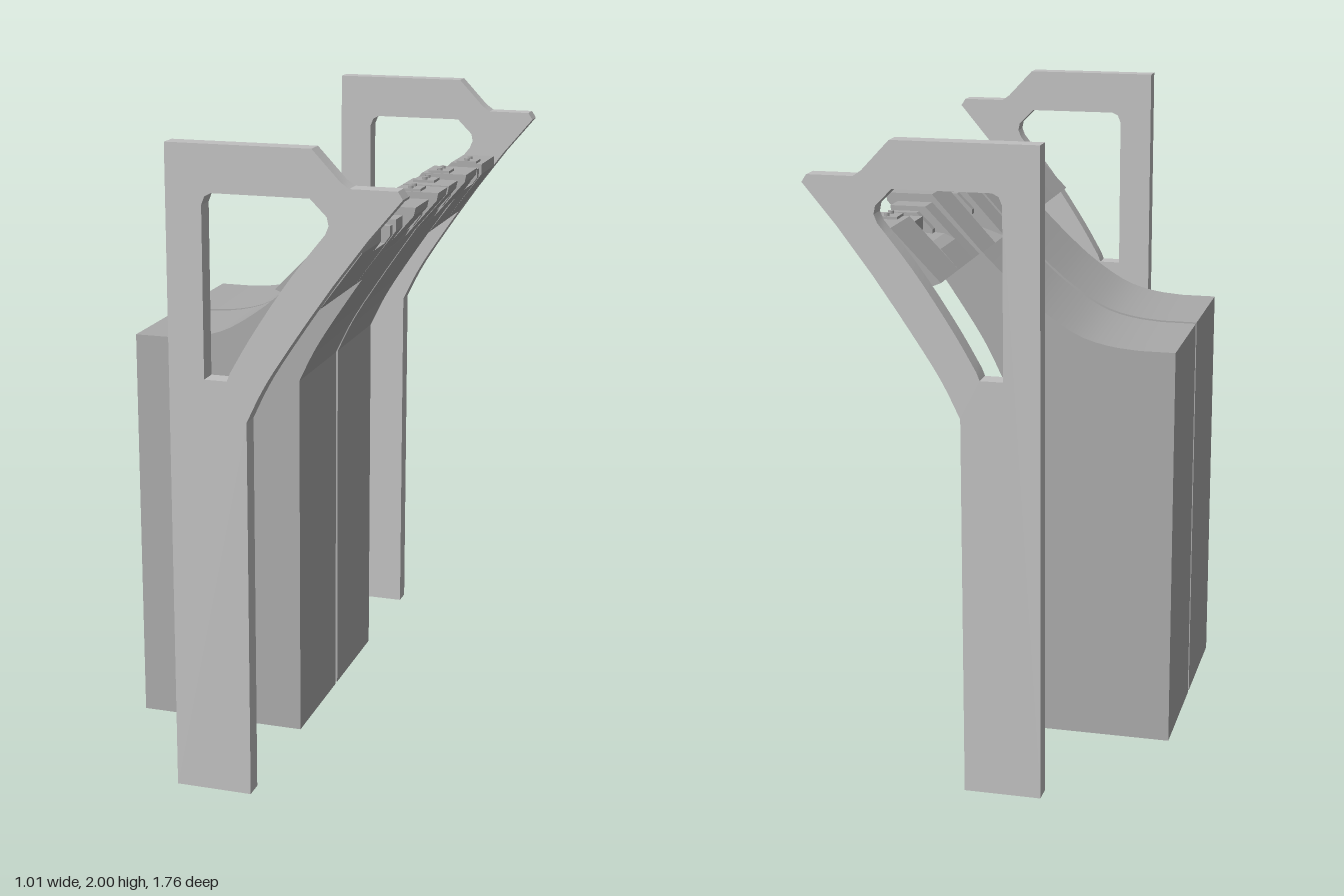
import * as THREE from 'three';
import { toCreasedNormals } from 'three/addons/utils/BufferGeometryUtils.js';

const paint = (name, color) => {
  const m = new THREE.MeshStandardMaterial({ color, side: THREE.DoubleSide });
  m.name = name;
  return m;
};

// Samples a smooth curve through a few points
const smooth = (pts, n = 14) =>
  new THREE.SplineCurve(pts.map(p => new THREE.Vector2(...p))).getPoints(n).map(p => [p.x, p.y]);

const path = (pts, Type) => new Type(pts.map(p => new THREE.Vector2(...p)));

// Drops the faces lying on the ground, leaving a hollow shell
function openBottom(geo) {
  const a = geo.attributes.position.array;
  const kept = [];
  for (let i = 0; i < a.length; i += 9) {
    if (Math.max(a[i + 1], a[i + 4], a[i + 7]) > 0.001) kept.push(...a.slice(i, i + 9));
  }
  const out = new THREE.BufferGeometry();
  out.setAttribute('position', new THREE.Float32BufferAttribute(kept, 3));
  return out;
}

// Side profile (x, y) extruded between two z values
function slab(name, pts, z0, z1, mat, hole) {
  const shape = path(pts, THREE.Shape);
  if (hole) shape.holes.push(path(hole, THREE.Path));
  const lo = Math.min(z0, z1);
  let geo = new THREE.ExtrudeGeometry(shape, { depth: Math.abs(z1 - z0), bevelEnabled: false });
  geo.translate(0, 0, lo);
  geo = openBottom(geo.index ? geo.toNonIndexed() : geo);
  geo.computeVertexNormals();
  const mesh = new THREE.Mesh(toCreasedNormals(geo, 0.3), mat);
  mesh.name = name;
  return mesh;
}

function box(name, x0, x1, y0, y1, z0, z1, mat) {
  const mesh = new THREE.Mesh(new THREE.BoxGeometry(x1 - x0, y1 - y0, Math.abs(z1 - z0)), mat);
  mesh.position.set((x0 + x1) / 2, (y0 + y1) / 2, (z0 + z1) / 2);
  mesh.name = name;
  return mesh;
}

export function createModel() {
  const model = new THREE.Group();
  model.name = 'gateStructure';
  const light = paint('light grey', 0xc0c0c0);
  const grey = paint('mid grey', 0xaaaaaa);

  // Shared curves: overhanging underside and swept back slope
  const under = smooth([[0.04, 1.19], [0.1, 1.31], [0.2, 1.465], [0.3, 1.61]]);
  const slope = smooth([[0.1, 1.585], [0, 1.487], [-0.09, 1.41], [-0.2, 1.34], [-0.3, 1.31], [-0.4, 1.3]]);

  // End frame outline and its window
  const frame = [[-0.2, 0], [0.04, 0], ...under, [0.405, 1.75], [0.505, 1.87], [0.49, 1.893],
    [0.35, 1.893], [0.325, 1.91], [0.24, 2], [-0.2, 2]];
  const window = [[-0.09, 1.31], [-0.02, 1.31],
    ...smooth([[-0.01, 1.335], [0.06, 1.455], [0.17, 1.62], [0.28, 1.76]], 10),
    [0.29, 1.785], [0.285, 1.81], [0.235, 1.86], [-0.06, 1.86], [-0.08, 1.85], [-0.09, 1.825]];

  // Pier body with a recessed crest, its filler and the raised crest teeth
  const body = [[-0.51, 0], [0.04, 0], ...under, [0.32, 1.645], [0.29, 1.65], ...slope, [-0.51, 1.3]];
  const filler = [[-0.5, 0], [0.03, 0], [0.03, 1.19], [0.1, 1.33], [0.2, 1.485], [0.39, 1.735],
    [0.26, 1.735], [0.1, 1.565], [0, 1.465], [-0.09, 1.39], [-0.2, 1.325], [-0.3, 1.3], [-0.5, 1.29]];
  const tooth = [[0.1, 1.585], [0.29, 1.6], [0.405, 1.735], [0.41, 1.76], [0.26, 1.76]];

  // Wing beam with a notch between two raised ends
  const wingEnd = [[0.11, 1.58], [0.23, 1.53], [0.245, 1.53], [0.37, 1.7], [0.37, 1.735], [0.26, 1.735]];
  const wingMid = [[0.11, 1.58], [0.23, 1.53], [0.245, 1.53], [0.345, 1.668], [0.2, 1.655], [0.165, 1.64]];

  model.add(slab('seamFiller', filler, -0.011, 0.011, grey));

  for (const s of [1, -1]) {
    const side = new THREE.Group();
    side.name = s > 0 ? 'frontHalf' : 'backHalf';
    model.add(side);

    side.add(slab('endFrame', frame, s * 0.82, s * 0.88, light, window));
    side.add(slab('pierBody', body, s * 0.01, s * 0.395, grey));
    side.add(slab('innerTooth', tooth, s * 0.01, s * 0.125, grey));
    side.add(slab('outerTooth', tooth, s * 0.24, s * 0.395, grey));
    side.add(slab('wingInner', wingEnd, s * 0.395, s * 0.47, grey));
    side.add(slab('wingMiddle', wingMid, s * 0.47, s * 0.63, grey));
    side.add(slab('wingOuter', wingEnd, s * 0.63, s * 0.82, grey));

    // Hinge brackets and the bar in each notch
    for (const [a, b, x0, t] of [[0.125, 0.24, 0.2, 0.024], [0.47, 0.63, 0.23, 0.026]]) {
      const ear = [[x0, 1.655], [0.335, 1.655], [0.36, 1.69], [0.36, 1.72], [x0 + 0.05, 1.72], [x0, 1.67]];
      side.add(slab('hingeBracket', ear, s * a, s * (a + t), grey));
      side.add(slab('hingeBracket', ear, s * (b - t), s * b, grey));
      side.add(box('hingeBar', 0.26, 0.3, 1.67, 1.71, s * (a + t), s * (b - t), grey));
    }

    // Small pads with bolts on the crest
    for (const [z, y] of [[0.085, 1.76], [0.28, 1.76], [0.66, 1.735]]) {
      side.add(box('crestPad', 0.28, 0.35, y, y + 0.008, s * (z - 0.033), s * (z + 0.033), grey));
      for (const dz of [-0.02, 0.02]) {
        const bolt = new THREE.Mesh(new THREE.CylinderGeometry(0.009, 0.009, 0.01, 8), grey);
        bolt.position.set(0.315, y + 0.012, s * (z + dz));
        bolt.name = 'padBolt';
        side.add(bolt);
      }
    }
  }
  return model;
}
